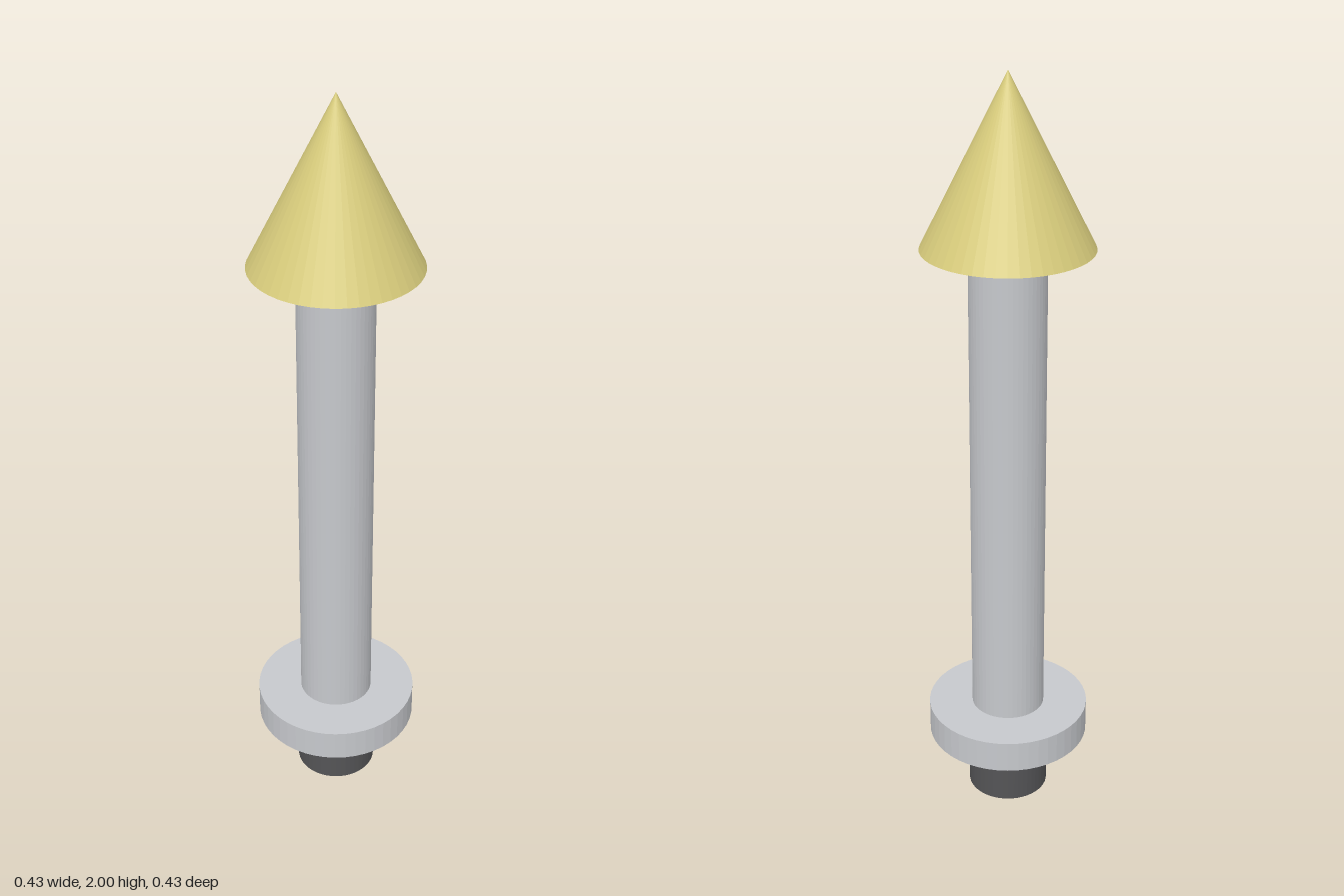
import * as THREE from 'three';

const SIDES = 48;

const material = (name, color) => {
  const m = new THREE.MeshStandardMaterial({ color, flatShading: true });
  m.name = name;
  return m;
};

export function createModel() {
  const group = new THREE.Group();
  group.name = 'spikedPost';

  const yellow = material('pale yellow', 0xd8cc7c);
  const grey = material('light grey', 0xc6c8cc);
  const dark = material('dark grey', 0x545456);

  // Round part standing between two heights
  const addRound = (name, mat, rTop, rBottom, y0, y1) => {
    const geometry = new THREE.CylinderGeometry(rTop, rBottom, y1 - y0, SIDES);
    const mesh = new THREE.Mesh(geometry, mat);
    mesh.name = name;
    mesh.position.y = (y0 + y1) / 2;
    group.add(mesh);
  };

  addRound('footPlug', dark, 0.108, 0.108, 0, 0.178);
  addRound('collar', grey, 0.2165, 0.2165, 0.178, 0.265);
  addRound('shaft', grey, 0.098, 0.098, 0.265, 1.57);
  addRound('conePoint', yellow, 0, 0.2165, 1.57, 2);

  return group;
}
